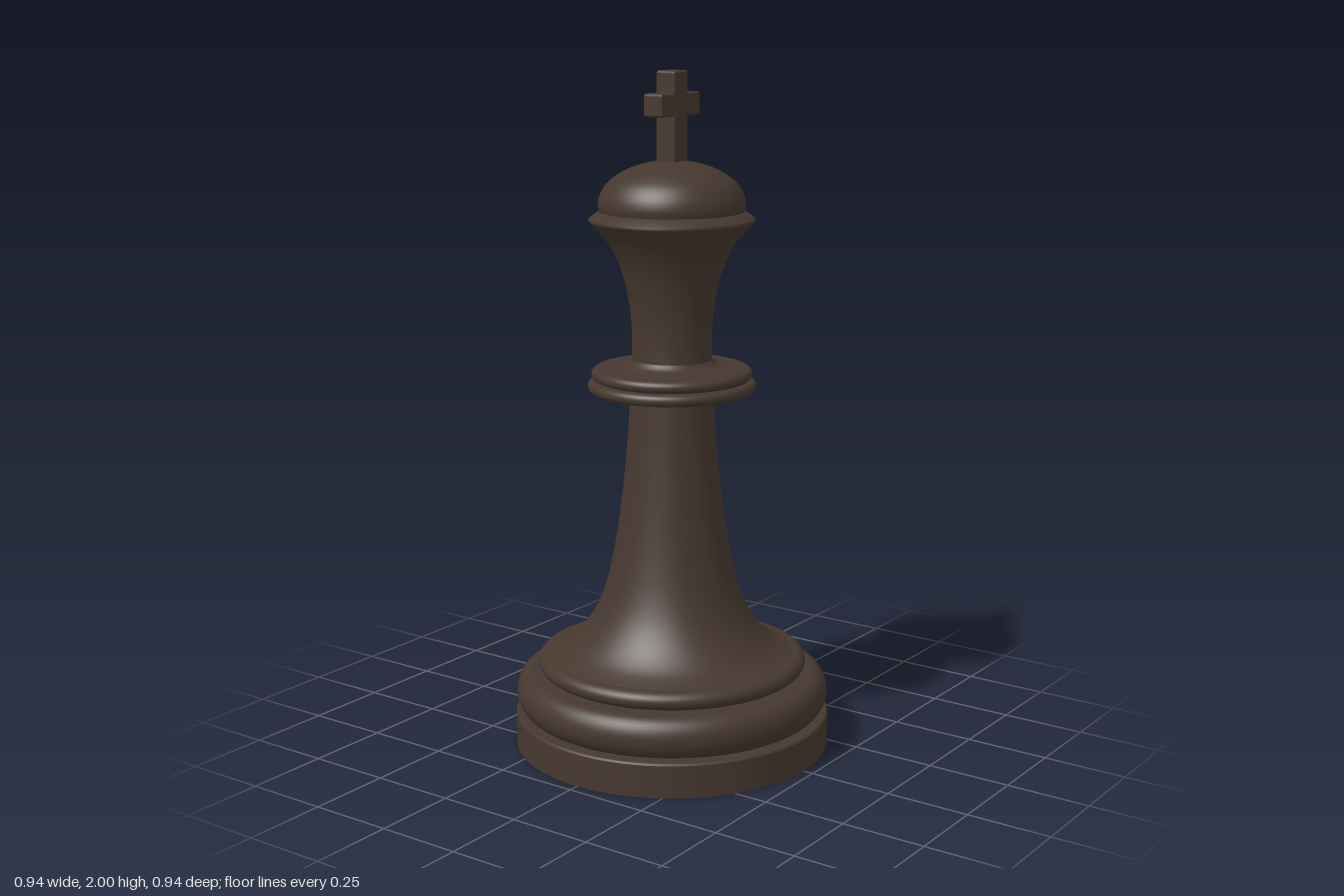
import * as THREE from 'three';
import { RoundedBoxGeometry } from 'three/addons/geometries/RoundedBoxGeometry.js';

const darkWood = new THREE.MeshStandardMaterial({ color: 0x46382f });
darkWood.name = 'darkWood';

const vectors = (pts) => pts.map(([r, y]) => new THREE.Vector2(r, y));

// Turned part from a profile of [radius, height], listed bottom to top
function turned(name, pts, smooth = 0) {
  let profile = vectors(pts);
  if (smooth) profile = new THREE.SplineCurve(profile).getPoints(smooth);
  profile.forEach((p) => { p.x = Math.max(p.x, 0); });
  const mesh = new THREE.Mesh(new THREE.LatheGeometry(profile, 96), darkWood);
  mesh.name = name;
  return mesh;
}

// Disc whose rim is a half ellipse: outer radius r, bulge depth b
function ring(name, r, b, y0, y1, inner = 0) {
  const pts = [[inner, y0]];
  for (let i = 0; i <= 20; i++) {
    const a = -Math.PI / 2 + (Math.PI * i) / 20;
    pts.push([r - b + b * Math.cos(a), (y0 + y1) / 2 + ((y1 - y0) / 2) * Math.sin(a)]);
  }
  pts.push([inner, y1]);
  return turned(name, pts);
}

function bar(name, w, h, d, y) {
  const mesh = new THREE.Mesh(new RoundedBoxGeometry(w, h, d, 3, 0.008), darkWood);
  mesh.name = name;
  mesh.position.y = y;
  return mesh;
}

export function createModel() {
  const king = new THREE.Group();
  king.name = 'chessKing';

  // Stepped foot
  const plinth = new THREE.Mesh(new THREE.CylinderGeometry(0.469, 0.469, 0.096, 96), darkWood);
  plinth.name = 'plinth';
  plinth.position.y = 0.048;
  king.add(plinth);
  king.add(turned('plinthEdge', [[0.469, 0.096], [0.467, 0.1], [0.462, 0.102], [0.4, 0.102]]));
  king.add(ring('baseRing', 0.466, 0.05, 0.102, 0.226));
  king.add(ring('upperBaseRing', 0.4, 0.034, 0.226, 0.282));

  // Flared stem
  king.add(turned('stem', [
    [0.368, 0.28], [0.31, 0.308], [0.262, 0.355], [0.222, 0.42], [0.193, 0.5], [0.171, 0.6],
    [0.155, 0.7], [0.143, 0.8], [0.133, 0.9], [0.126, 1.0], [0.121, 1.09],
  ], 50));

  // Double collar
  king.add(ring('lowerCollar', 0.246, 0.018, 1.074, 1.11));
  king.add(ring('upperCollar', 0.235, 0.02, 1.11, 1.146));
  king.add(turned('collarTop', [[0.215, 1.145], [0.17, 1.149], [0.135, 1.156], [0.118, 1.172]], 16));

  // Waisted neck and crown rim
  king.add(turned('neck', [
    [0.118, 1.16], [0.116, 1.22], [0.12, 1.3], [0.135, 1.39], [0.16, 1.465],
    [0.195, 1.525], [0.238, 1.572],
  ], 40));
  king.add(turned('crownRim', [[0.238, 1.572], [0.242, 1.578], [0.236, 1.583]]));
  king.add(turned('crownLedge', [[0.236, 1.583], [0.21, 1.602], [0.19, 1.602]]));

  // Domed cap
  king.add(turned('dome', [
    [0.209, 1.598], [0.213, 1.622], [0.205, 1.653], [0.182, 1.686], [0.145, 1.712],
    [0.1, 1.731], [0.05, 1.743], [0, 1.746],
  ], 40));

  // Finial cross
  const cross = new THREE.Group();
  cross.name = 'cross';
  cross.add(bar('crossUpright', 0.068, 0.3, 0.067, 1.85));
  cross.add(bar('crossArms', 0.19, 0.066, 0.066, 1.905));
  king.add(cross);

  return king;
}
